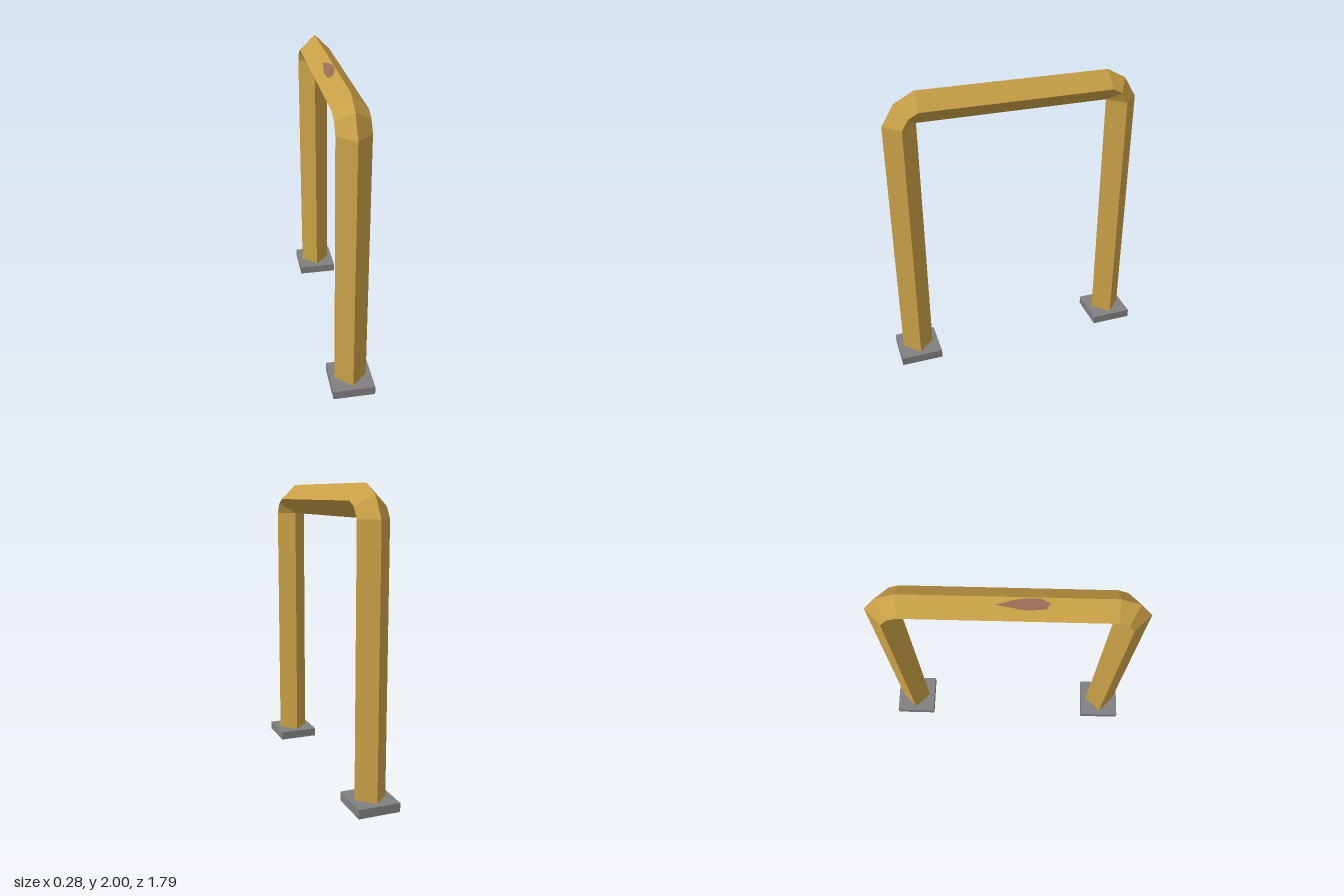
import * as THREE from 'three';

const HALF = 0.107;   // half width of the diamond section
const PIVOT_Z = 0.645, PIVOT_Y = 1.79; // inside corner of each bend

// Square tube turned on edge, joined through a list of diamond rings.
// Each station is [outerZ, outerY, innerZ, innerY].
function diamondTube(stations) {
  const rings = stations.map(([oz, oy, iz, iy]) => {
    const z = (oz + iz) / 2, y = (oy + iy) / 2;
    return [[0, oy, oz], [HALF, y, z], [0, iy, iz], [-HALF, y, z]];
  });
  const pos = [];
  for (let i = 0; i < rings.length - 1; i++) {
    for (let j = 0; j < 4; j++) {
      const k = (j + 1) % 4;
      const a = rings[i][j], b = rings[i][k], c = rings[i + 1][k], d = rings[i + 1][j];
      pos.push(...a, ...b, ...c, ...a, ...c, ...d);
    }
  }
  const geo = new THREE.BufferGeometry();
  geo.setAttribute('position', new THREE.Float32BufferAttribute(pos, 3));
  geo.computeVertexNormals();
  return geo;
}

// Box without its underside
function openBox(w, h, d) {
  const geo = new THREE.BoxGeometry(w, h, d);
  const index = Array.from(geo.index.array);
  index.splice(18, 6);
  geo.setIndex(index);
  geo.clearGroups();
  return geo;
}

export function createModel() {
  const yellow = new THREE.MeshStandardMaterial({ color: 0xc9a046, side: THREE.DoubleSide });
  yellow.name = 'ochre paint';
  const grey = new THREE.MeshStandardMaterial({ color: 0x808080, side: THREE.DoubleSide });
  grey.name = 'concrete grey';
  const rust = new THREE.MeshStandardMaterial({ color: 0x9c6a54, side: THREE.DoubleSide });
  rust.name = 'rust brown';

  const model = new THREE.Group();
  model.name = 'barrierHoop';
  const add = (name, geo, mat) => {
    const mesh = new THREE.Mesh(geo, mat);
    mesh.name = name;
    model.add(mesh);
    return mesh;
  };

  // Hoop: front leg and bend, then the same stations mirrored for the back
  const frontHalf = [
    [0.86, 0, PIVOT_Z, 0],
    [0.86, PIVOT_Y, PIVOT_Z, PIVOT_Y],
    [0.775, 1.93, PIVOT_Z, PIVOT_Y],
    [PIVOT_Z, 2, PIVOT_Z, PIVOT_Y],
  ];
  const backHalf = frontHalf.map(([oz, oy, iz, iy]) => [-oz, oy, -iz, iy]).reverse();
  add('hoop', diamondTube([...frontHalf, ...backHalf]), yellow);

  // Hollow foot plates
  for (const [name, side] of [['frontFoot', 1], ['backFoot', -1]]) {
    add(name, openBox(0.28, 0.06, 0.29), grey).position.set(0, 0.03, side * 0.75);
  }

  // Worn patch lying on the upper slope, outlined as (z, x)
  const outline = [
    [-0.07, -0.035], [0.05, -0.05], [0.12, -0.057], [0.22, -0.05],
    [0.25, -0.025], [0.19, -0.004], [0.1, -0.004], [0.02, -0.015],
  ].map(([z, x]) => new THREE.Vector2(z, x));
  const patch = new THREE.ShapeGeometry(new THREE.Shape(outline));
  const p = patch.attributes.position;
  const lift = 0.002;
  for (let i = 0; i < p.count; i++) {
    const z = p.getX(i), x = p.getY(i);
    p.setXYZ(i, x - lift, 2 + x + lift, z);
  }
  patch.computeVertexNormals();
  add('rustPatch', patch, rust);

  return model;
}
